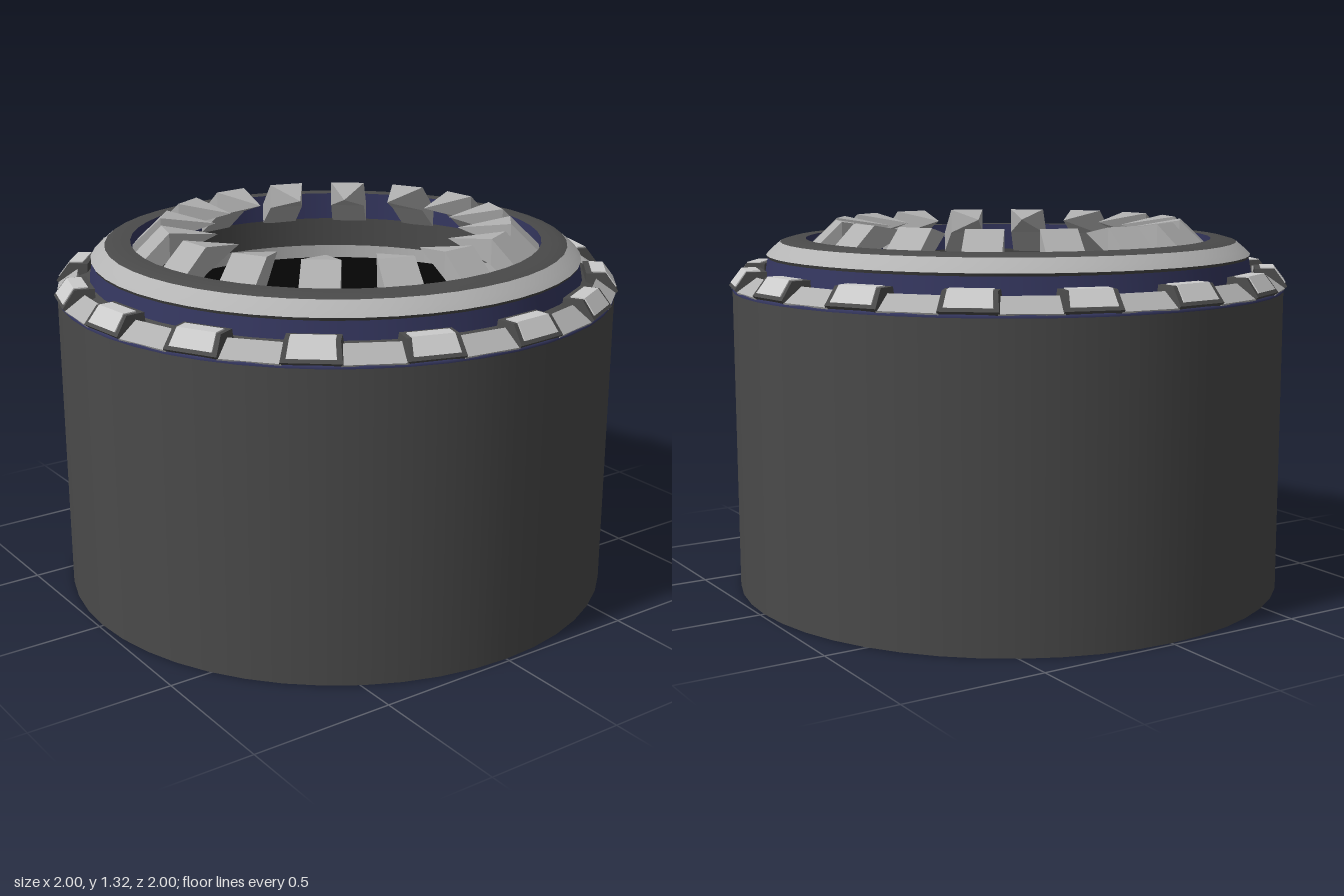
import * as THREE from 'three';

const mat = (color, flat = false) => new THREE.MeshStandardMaterial({ color, flatShading: flat });
const COUNT = 16, STEP = (Math.PI * 2) / COUNT, OFFSET = STEP / 4;

// Extrude a radius/height profile sideways, narrowing it by `taper` per unit of height
function wedge(profile, width, taper = 0) {
  const shape = new THREE.Shape(profile.map(([r, y]) => new THREE.Vector2(r, y)));
  const g = new THREE.ExtrudeGeometry(shape, { depth: width, bevelEnabled: false });
  g.translate(0, 0, -width / 2);
  const p = g.attributes.position;
  for (let i = 0; i < p.count; i++) p.setZ(i, p.getZ(i) * (1 - taper * (p.getY(i) - 1.08)));
  g.computeVertexNormals();
  return g;
}

// Inward spike: square root section, raised shoulder section, single tip
function spike() {
  const section = (r, w, low, high) => [[r, low, -w], [r, low, w], [r, high, w], [r, high, -w]];
  const v = [...section(0.72, 0.067, 1.14, 1.215), ...section(0.615, 0.064, 1.225, 1.315), [0.43, 1.285, 0]];
  const idx = [0, 2, 1, 0, 3, 2];
  for (let i = 0; i < 4; i++) {
    const j = (i + 1) % 4;
    idx.push(i, j + 4, i + 4, i, j, j + 4, i + 4, j + 4, 8);
  }
  const g = new THREE.BufferGeometry();
  g.setAttribute('position', new THREE.Float32BufferAttribute(v.flat(), 3));
  g.setIndex(idx);
  const flat = g.toNonIndexed();
  flat.computeVertexNormals();
  return flat;
}

export function createModel() {
  const root = new THREE.Group();
  const dark = mat(0x4a4a4a), light = mat(0xb4b4b4), navy = mat(0x34365e), black = mat(0x050505);
  const darkFlat = mat(0x4a4a4a, true), lightFlat = mat(0xcccccc, true), greyFlat = mat(0xb0b0b0, true);
  const add = (name, geometry, material, parent = root) => {
    const mesh = new THREE.Mesh(geometry, material);
    mesh.name = name;
    parent.add(mesh);
    return mesh;
  };
  const band = (name, points, material) =>
    add(name, new THREE.LatheGeometry(points.map(([r, y]) => new THREE.Vector2(r, y)), 48), material);

  // Drum body and its underside
  add('body', new THREE.CylinderGeometry(0.985, 0.985, 1.07, 48, 1, true).translate(0, 0.535, 0), dark);
  add('bodyBottom', new THREE.CircleGeometry(0.985, 48).rotateX(Math.PI / 2), dark);

  // Stepped collar, from the shoulder over the lip and down into the throat
  band('shoulder', [[0.985, 1.07], [0.985, 1.08], [0.96, 1.095]], navy);
  band('shoulderTop', [[0.96, 1.095], [0.87, 1.125]], dark);
  band('collar', [[0.872, 1.12], [0.86, 1.185]], navy);
  band('lipEdge', [[0.86, 1.185], [0.865, 1.195]], dark);
  band('lipSlope', [[0.865, 1.195], [0.845, 1.215], [0.815, 1.24]], light);
  band('lipTop', [[0.815, 1.24], [0.78, 1.25], [0.725, 1.25]], dark);
  band('throatUpper', [[0.725, 1.25], [0.72, 1.15]], navy);
  band('throatMiddle', [[0.72, 1.15], [0.72, 1.04]], dark);
  band('throatLower', [[0.72, 1.04], [0.72, 0.99]], light);
  add('throatFloor', new THREE.CircleGeometry(0.72, 48).rotateX(-Math.PI / 2).translate(0, 0.99, 0), black);

  // Repeated parts around the rim
  const frame = wedge([[0.88, 1.075], [0.975, 1.075], [0.993, 1.09], [0.948, 1.15], [0.88, 1.15]], 0.195, 1.6);
  const panel = wedge([[0.9, 1.1], [0.98, 1.1], [0.989, 1.102], [0.949, 1.154], [0.9, 1.154]], 0.16, 1.6);
  const plate = wedge([[0.91, 1.078], [0.982, 1.078], [0.985, 1.084], [0.915, 1.132]], 0.205);
  const tooth = spike();
  for (let i = 0; i < COUNT; i++) {
    const station = new THREE.Group();
    station.name = 'rimSegment';
    station.rotation.y = i * STEP + OFFSET;
    root.add(station);
    add('blockFrame', frame, darkFlat, station);
    add('blockPanel', panel, lightFlat, station);
    add('tooth', tooth, greyFlat, station);
    add('rimPlate', plate, greyFlat, station).rotation.y = STEP / 2;
  }
  return root;
}
